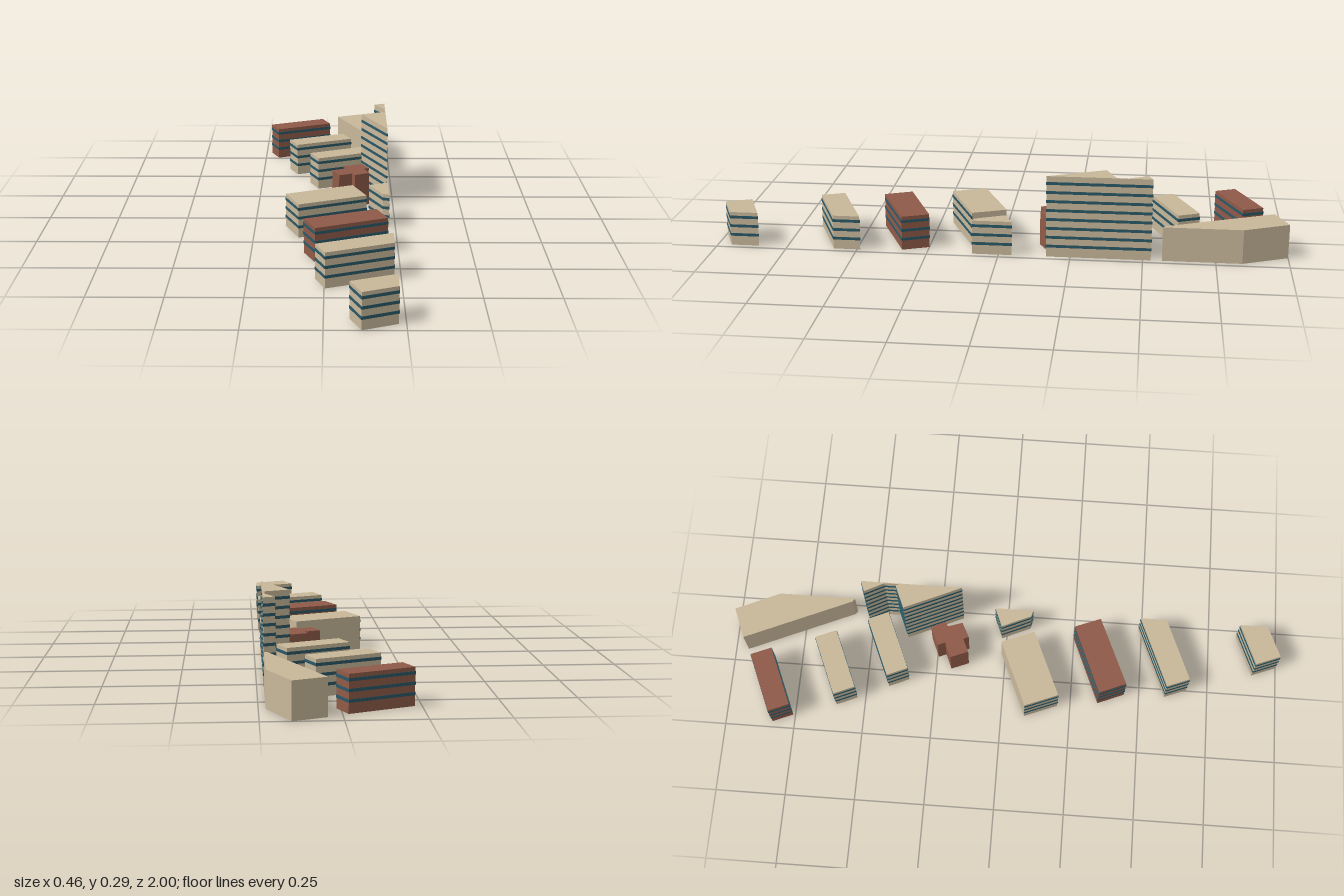
import * as THREE from 'three';

const beige = new THREE.MeshStandardMaterial({ color: 0xc8b89a, flatShading: true });
const brick = new THREE.MeshStandardMaterial({ color: 0x8f5a48, flatShading: true });
const glass = new THREE.MeshStandardMaterial({ color: 0x2a5866, flatShading: true });

const LOW = 0.122, TALL = 0.292;
const FIRST_BAND = 0.039, BAND_STEP = 0.0325, BAND_HEIGHT = 0.01, BAND_OUT = 0.0015;

// Upright block from a plan outline given as [x, z] corners
function block(plan, height, material) {
  const shape = new THREE.Shape(plan.map(([x, z]) => new THREE.Vector2(x, -z)));
  const geo = new THREE.ExtrudeGeometry(shape, { depth: height, bevelEnabled: false });
  geo.rotateX(-Math.PI / 2);
  const mesh = new THREE.Mesh(geo, material);
  mesh.name = 'walls';
  return mesh;
}

// Rows of window bands along the plan edges (all edges unless listed)
function addBands(group, plan, height, edges = plan.map((_, i) => i)) {
  for (let y = FIRST_BAND; y < height - 0.01; y += BAND_STEP) {
    for (const i of edges) {
      const [x0, z0] = plan[i], [x1, z1] = plan[(i + 1) % plan.length];
      const length = Math.hypot(x1 - x0, z1 - z0);
      const band = new THREE.Mesh(
        new THREE.BoxGeometry(length + BAND_OUT, BAND_HEIGHT, 2 * BAND_OUT), glass);
      band.position.set((x0 + x1) / 2, y, (z0 + z1) / 2);
      band.rotation.y = -Math.atan2(z1 - z0, x1 - x0);
      band.name = 'windowBand';
      group.add(band);
    }
  }
}

export function createModel() {
  const model = new THREE.Group();
  model.name = 'buildingRow';

  const buildings = [
    { name: 'rearBrickBuilding', mat: brick,
      plan: [[-0.228, -0.83], [-0.018, -0.92], [0.013, -0.848], [-0.197, -0.758]] },
    { name: 'rearBuilding', mat: beige,
      plan: [[-0.146, -0.604], [0.066, -0.694], [0.098, -0.62], [-0.114, -0.53]] },
    { name: 'middleRearBuilding', mat: beige,
      plan: [[-0.061, -0.419], [0.151, -0.51], [0.183, -0.437], [-0.029, -0.347]] },
    // stepped brick core without windows
    { name: 'brickCore', mat: brick, edges: [],
      plan: [[0.024, -0.196], [0.079, -0.219], [0.067, -0.246], [0.137, -0.276], [0.161, -0.224],
        [0.143, -0.215], [0.161, -0.163], [0.108, -0.136], [0.098, -0.155], [0.05, -0.133]] },
    { name: 'centreBuilding', mat: beige, edges: [2, 3],
      plan: [[-0.14, 0.085], [0.098, -0.016], [0.146, 0.102], [-0.092, 0.203]] },
    { name: 'frontBrickBuilding', mat: brick,
      plan: [[-0.071, 0.35], [0.177, 0.249], [0.214, 0.341], [-0.031, 0.445]] },
    // blocks cut straight along the left side
    { name: 'frontBuilding', mat: beige,
      plan: [[-0.029, 0.593], [0.227, 0.488], [0.227, 0.582], [0.003, 0.673]] },
    { name: 'endBuilding', mat: beige,
      plan: [[0.079, 0.912], [0.227, 0.852], [0.227, 0.951], [0.114, 0.999]] },
    { name: 'smallWedgeBuilding', mat: beige,
      plan: [[0.158, -0.018], [0.227, -0.046], [0.227, 0.092], [0.205, 0.086]] },
    { name: 'plainHall', mat: beige, edges: [],
      plan: [[0.046, -0.955], [0.155, -1], [0.227, -0.84], [0.227, -0.566], [0.215, -0.573]] },
    // tower with a recess, joined by a thin outer wall
    { name: 'tower', mat: beige, height: TALL,
      plan: [[0.227, -0.166], [0.136, -0.367], [0.219, -0.402], [0.224, -0.388],
        [0.224, -0.444], [0.188, -0.513], [0.227, -0.528]] },
  ];

  for (const { name, mat, plan, height = LOW, edges } of buildings) {
    const group = new THREE.Group();
    group.name = name;
    group.add(block(plan, height, mat));
    addBands(group, plan, height, edges);
    model.add(group);
  }
  return model;
}
